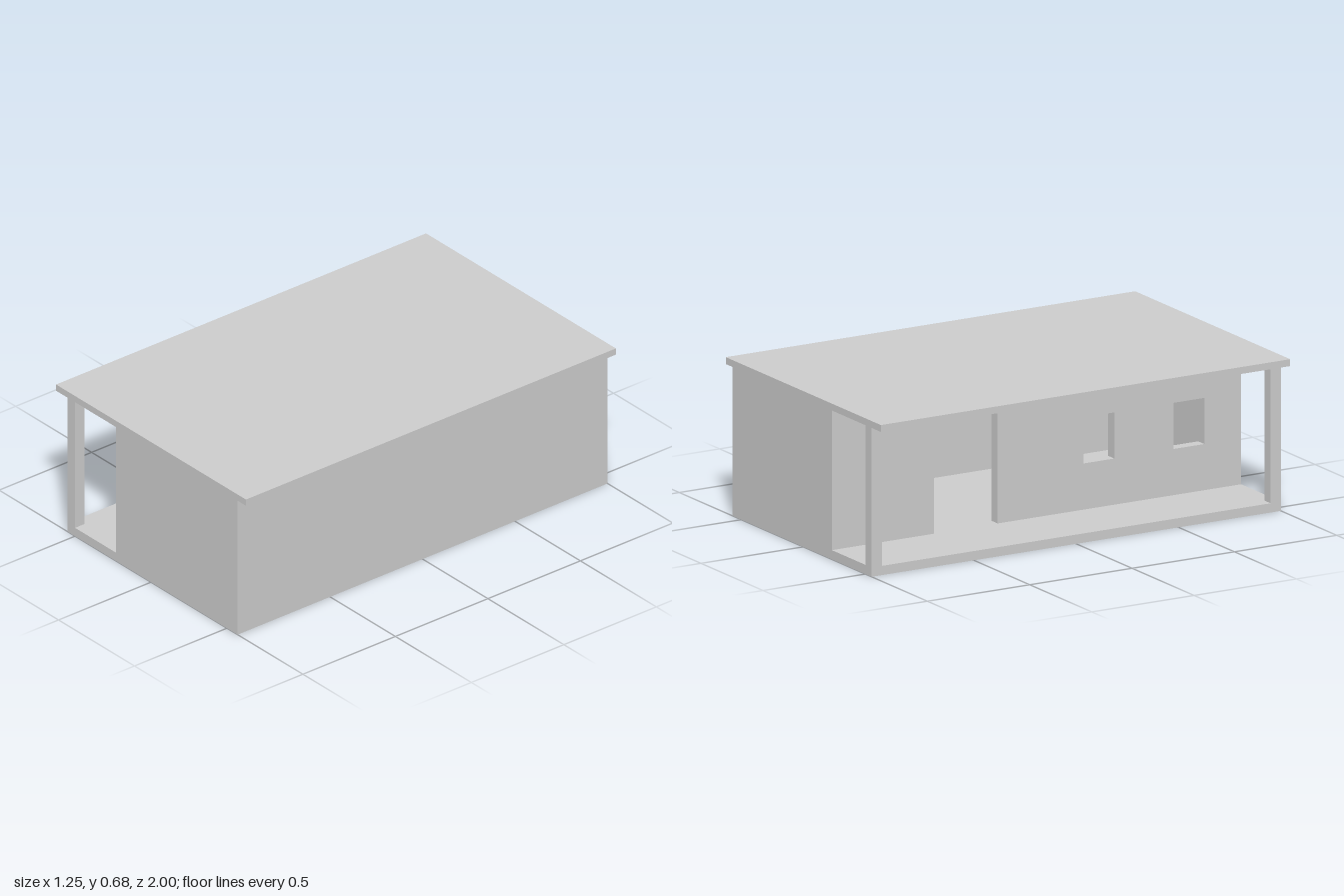
import * as THREE from 'three';

const material = new THREE.MeshStandardMaterial({ color: 0xcccccc, flatShading: true });

const FLOOR = 0.04; // top of the floor slab
const CEIL = 0.645; // underside of the roof
const T = 0.05; // wall and post thickness

// Box given by its minimum and maximum corners
function block(name, x0, x1, y0, y1, z0, z1) {
  const geometry = new THREE.BoxGeometry(x1 - x0, y1 - y0, z1 - z0);
  geometry.translate((x0 + x1) / 2, (y0 + y1) / 2, (z0 + z1) / 2);
  const mesh = new THREE.Mesh(geometry, material);
  mesh.name = name;
  return mesh;
}

function rectangle(path, z0, z1, y0, y1) {
  path.moveTo(z0, y0);
  path.lineTo(z1, y0);
  path.lineTo(z1, y1);
  path.lineTo(z0, y1);
  path.closePath();
  return path;
}

export function createModel() {
  const model = new THREE.Group();
  model.name = 'porchHouse';

  // Slabs and the closed long wall
  model.add(block('floor', -0.55, 0.57, 0, FLOOR, -1, 1));
  model.add(block('roof', -0.625, 0.625, CEIL, 0.675, -1, 1));
  model.add(block('sideWall', 0.57 - T, 0.57, FLOOR, CEIL, -1, 1));

  // End walls and porch corner posts, front and back
  for (const [label, z0] of [['front', 1 - T], ['back', -1]]) {
    model.add(block(label + 'Wall', -0.23, 0.57 - T, FLOOR, CEIL, z0, z0 + T));
    model.add(block(label + 'Post', -0.55, -0.5, FLOOR, CEIL, z0, z0 + T));
  }

  // Porch wall: short piece, doorway gap, long piece with two windows
  model.add(block('porchWallShort', -0.23, -0.23 + T, FLOOR, CEIL, -1 + T, -0.5));
  const shape = rectangle(new THREE.Shape(), -0.19, 1 - T, FLOOR, CEIL);
  for (const z of [0.23, 0.67]) {
    shape.holes.push(rectangle(new THREE.Path(), z, z + 0.15, 0.24, 0.44));
  }
  const geometry = new THREE.ExtrudeGeometry(shape, { depth: T, bevelEnabled: false });
  geometry.rotateY(-Math.PI / 2).translate(-0.23 + T, 0, 0);
  const porchWall = new THREE.Mesh(geometry, material);
  porchWall.name = 'porchWallWithWindows';
  model.add(porchWall);

  return model;
}
